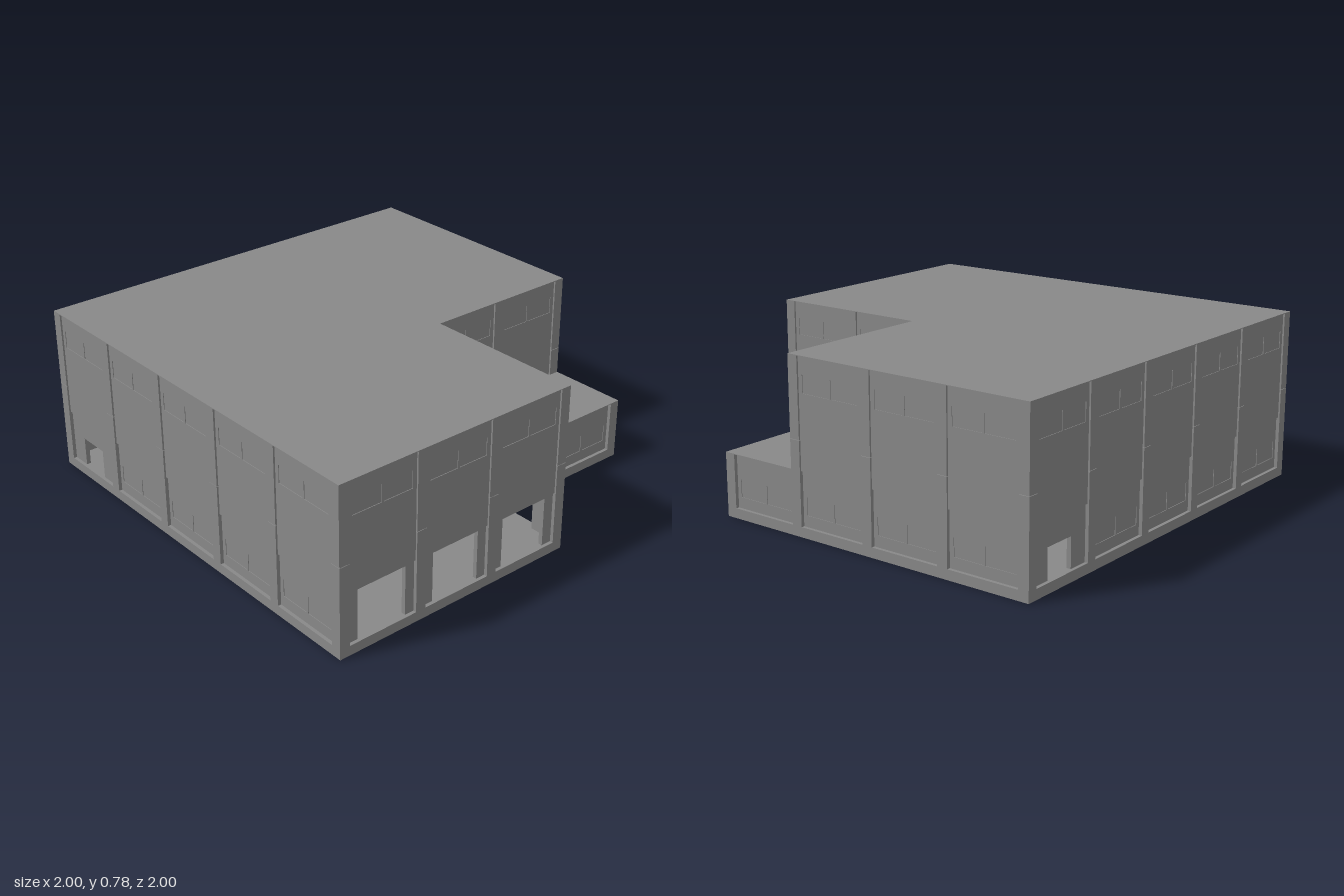
import * as THREE from 'three';

const PLINTH = 0.045, MID = 0.29, TOP = 0.78, JOINT = 0.42, ROOF = 0.003;
const COL = 0.05, PITCH = 0.39, FIRST = -0.975;
const LOWER_INSET = 0.016, UPPER_INSET = 0.008;
const mat = new THREE.MeshStandardMaterial({ color: 0x888888 });

const grid = i => FIRST + PITCH * i;

function add(parent, name, geometry, x = 0, y = 0, z = 0) {
  const m = new THREE.Mesh(geometry, mat);
  m.name = name;
  m.position.set(x, y, z);
  parent.add(m);
}

const polygon = pts => pts.map(([x, y]) => new THREE.Vector2(x, y));
const rect = (x0, x1, y0, y1) => polygon([[x0, y0], [x1, y0], [x1, y1], [x0, y1]]);

// L-shaped plan, inset by o; the wing on the model's left ends at z = wing
const plan = (wing, o = 0) => polygon([
  [-1 + o, -1 + o], [0.22 - o, -1 + o], [0.22 - o, -wing + o],
  [1 - o, -wing + o], [1 - o, 1 - o], [-1 + o, 1 - o],
]);

// Horizontal plate extruded upward from its underside
function plate(points, height, hole) {
  const shape = new THREE.Shape(points);
  if (hole) shape.holes.push(new THREE.Path(hole));
  return new THREE.ExtrudeGeometry(shape, { depth: height, bevelEnabled: false }).rotateX(-Math.PI / 2);
}

// One wall panel with an optional doorway in its lower edge and shallow windows
function panel(wall, name, u0, u1, y0, y1, face, door, panes) {
  const pts = [[u0, y0]];
  if (door) {
    const [a, b, h] = door;
    pts.push([a, y0], [a, h], [b, h], [b, y0]);
  }
  pts.push([u1, y0], [u1, y1], [u0, y1]);
  const shape = new THREE.Shape(polygon(pts));
  for (const [a, b, c, d] of panes) {
    shape.holes.push(new THREE.Path(rect(a, b, c, d)));
    add(wall, 'windowPane', new THREE.BoxGeometry(b - a + 0.008, d - c + 0.008, 0.006),
      (a + b) / 2, (c + d) / 2, face - 0.006);
  }
  add(wall, name, new THREE.ExtrudeGeometry(shape, { depth: 0.02, bevelEnabled: false }), 0, 0, face - 0.02);
}

// Two panes side by side, filling a bay
function panePair(u0, u1, y0, y1) {
  const mid = (u0 + u1) / 2;
  return [[u0 + 0.02, mid - 0.005, y0, y1], [mid + 0.005, u1 - 0.02, y0, y1]];
}

// A straight run of bays, facing +z before it is turned about y
function wallRun(parent, { name, turn, d, bays, lower = true, upper = true, doors = {}, windows = {} }) {
  const wall = new THREE.Group();
  wall.name = name;
  wall.rotation.y = turn;
  for (const i of bays) {
    const u0 = grid(i) + COL / 2, u1 = grid(i + 1) - COL / 2;
    if (lower) {
      const panes = windows[i] || (doors[i] ? [] : panePair(u0, u1, 0.095, 0.175));
      panel(wall, 'lowerPanel', u0, u1, PLINTH, MID - ROOF, d - LOWER_INSET, doors[i], panes);
    }
    if (upper) {
      panel(wall, 'upperPanel', u0, u1, MID - ROOF, TOP - ROOF, d - UPPER_INSET, null,
        panePair(u0, u1, 0.62, 0.70));
    }
  }
  parent.add(wall);
}

// Column in two lifts with a fine recessed joint between them
function column(parent, i, j, top) {
  const piece = (name, y0, y1, w) =>
    add(parent, name, new THREE.BoxGeometry(w, y1 - y0, w), grid(i), (y0 + y1) / 2, grid(j));
  piece('column', PLINTH, Math.min(top, JOINT - 0.001), COL);
  if (top > JOINT) {
    piece('columnJoint', JOINT - 0.005, JOINT + 0.005, COL - 0.014);
    piece('column', JOINT + 0.001, top, COL);
  }
}

export function createModel() {
  const model = new THREE.Group();
  model.name = 'building';

  // Hollow plinth, floor and roofs
  add(model, 'plinth', plate(plan(0.61), PLINTH - 0.005, plan(0.61, 0.004)));
  add(model, 'floor', plate(plan(0.61), 0.005), 0, PLINTH - 0.005);
  add(model, 'mainRoof', plate(plan(0.22), ROOF), 0, TOP - ROOF);
  add(model, 'annexRoof', plate(rect(0.2, 1, -0.61, -0.2), ROOF), 0, MID - ROOF);

  // Walls with loading doors at the front and small doors on the other sides
  const q = Math.PI / 2;
  const sideDoor = { 0: [-0.86, -0.705, 0.18] };
  const all = [0, 1, 2, 3, 4];
  const runs = [
    { name: 'frontWall', turn: 0, d: 1, bays: [0, 1, 2],
      doors: { 0: [-0.9, -0.655, 0.275], 1: [-0.51, -0.265, 0.275], 2: [-0.125, 0.12, 0.275] } },
    { name: 'annexFrontWall', turn: 0, d: 0.61, bays: [3, 4], upper: false,
      doors: { 3: [0.25, 0.325, 0.18] }, windows: { 3: [[0.39, 0.54, 0.095, 0.175]] } },
    { name: 'setbackFrontWall', turn: 0, d: 0.22, bays: [3, 4], lower: false },
    { name: 'notchSideWall', turn: q, d: 0.22, bays: [0], doors: sideDoor },
    { name: 'setbackSideWall', turn: q, d: 0.22, bays: [1], lower: false },
    { name: 'annexSideWall', turn: q, d: 1, bays: [1], upper: false },
    { name: 'leftWall', turn: q, d: 1, bays: [2, 3, 4] },
    { name: 'backWall', turn: 2 * q, d: 1, bays: all, doors: sideDoor },
    { name: 'rightWall', turn: -q, d: 1, bays: all, doors: sideDoor },
  ];
  runs.forEach(r => wallRun(model, r));

  // Columns around the perimeter and at the notch
  const columns = new THREE.Group();
  columns.name = 'columns';
  model.add(columns);
  const mainTop = TOP - ROOF, annexTop = MID - ROOF;
  for (let i = 0; i < 6; i++) {
    column(columns, i, 0, mainTop);
    if (i < 4) column(columns, i, 5, mainTop);
    else {
      column(columns, i, 3, mainTop);
      column(columns, i, 4, annexTop);
    }
  }
  for (let j = 1; j < 5; j++) {
    column(columns, 0, j, mainTop);
    column(columns, j < 3 ? 5 : 3, j, mainTop);
  }

  return model;
}
